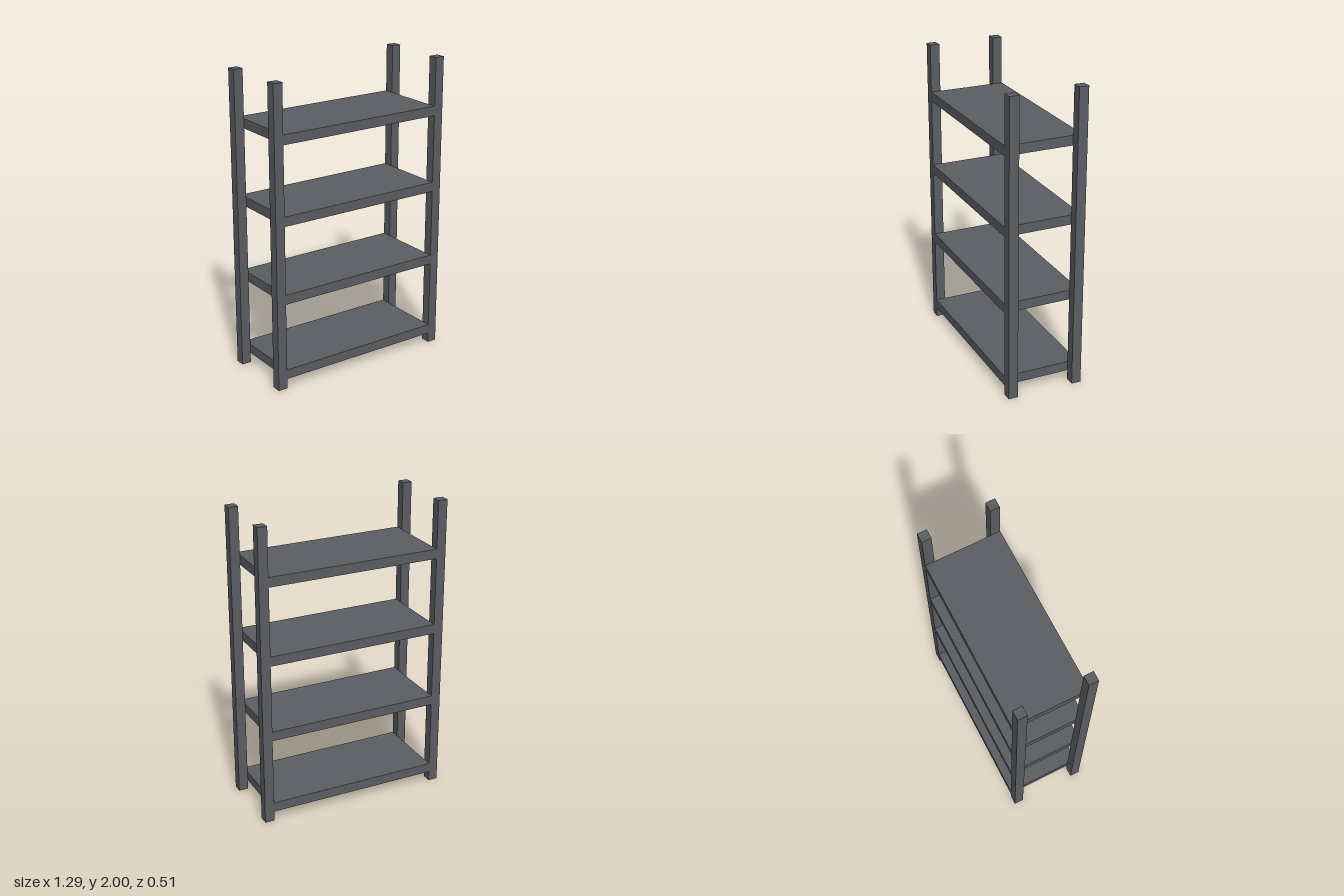
import * as THREE from 'three';

export function createModel() {
  const group = new THREE.Group();
  const metal = new THREE.MeshStandardMaterial({ color: 0x5b5e64 });
  metal.name = 'dark grey metal';

  const addBox = (name, w, h, d, x, y, z) => {
    const mesh = new THREE.Mesh(new THREE.BoxGeometry(w, h, d), metal);
    mesh.name = name;
    mesh.position.set(x, y, z);
    group.add(mesh);
  };

  const bar = 0.064; // post width and shelf thickness
  const halfW = 0.644, halfD = 0.257;

  // Four corner posts
  for (const [side, sx] of [['Left', 1], ['Right', -1]]) {
    for (const [end, sz] of [['front', 1], ['back', -1]]) {
      addBox(`${end}${side}Post`, bar, 2, bar, sx * (halfW - bar / 2), 1, sz * (halfD - bar / 2));
    }
  }

  // Four evenly spaced shelves between the posts
  for (let i = 0; i < 4; i++) {
    addBox(`shelf${i + 1}`, 2 * (halfW - bar), bar, 2 * halfD, 0, 0.099 + i * 0.517, 0);
  }

  return group;
}
